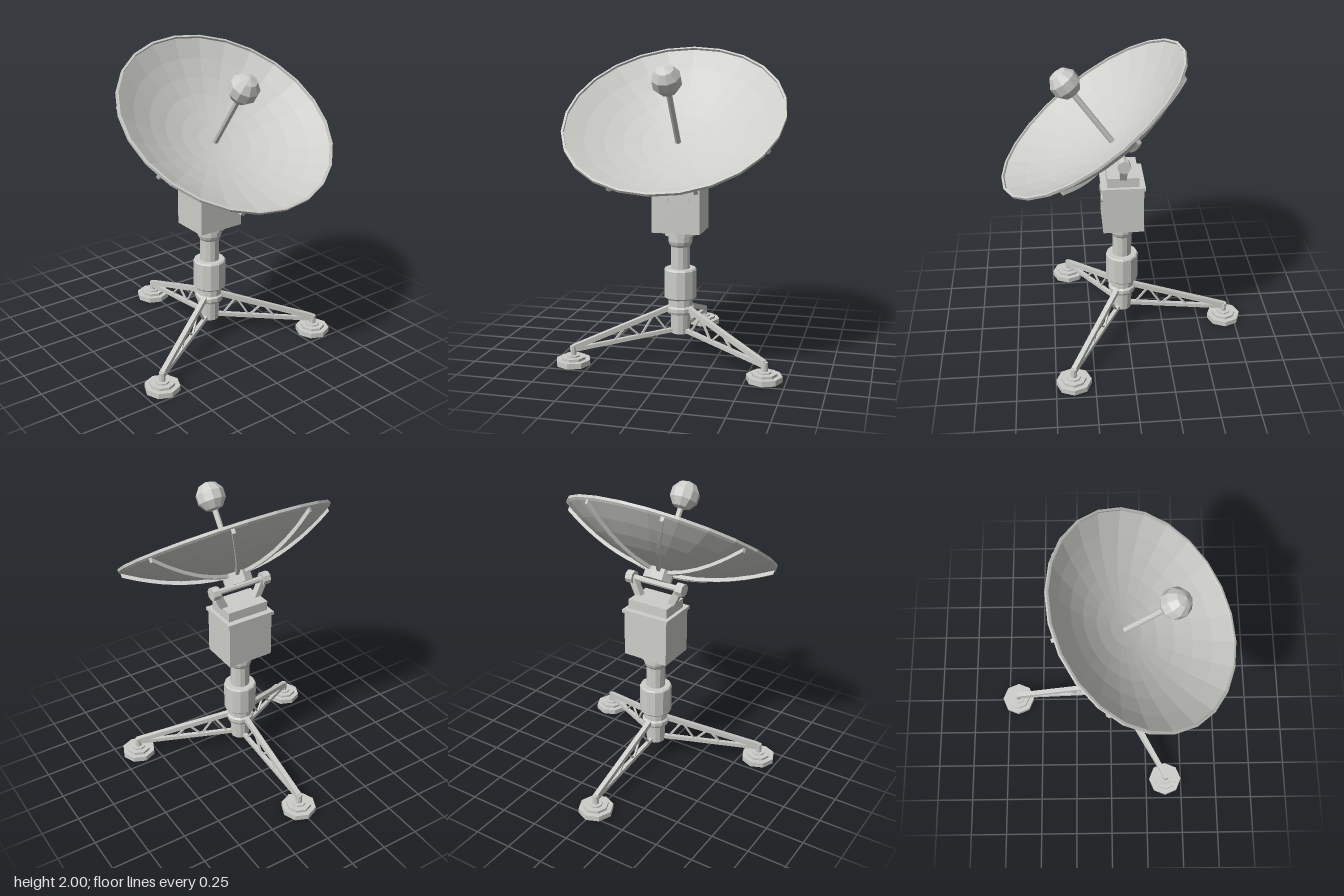
import * as THREE from 'three';

const grey = new THREE.MeshStandardMaterial({ color: 0xcdcdc9, flatShading: true });
grey.name = 'light grey';

const CZ = 0.03; // z of the column axis

function add(parent, name, geometry, x = 0, y = 0, z = 0) {
  const mesh = new THREE.Mesh(geometry, grey);
  mesh.name = name;
  mesh.position.set(x, y, z);
  parent.add(mesh);
  return mesh;
}

// Lathe from [radius, height] pairs, bottom to top
function lathe(points, sides) {
  return new THREE.LatheGeometry(points.map(([r, y]) => new THREE.Vector2(r, y)), sides);
}

// Square bar between two points
function bar(parent, name, a, b, width) {
  const from = new THREE.Vector3(...a), to = new THREE.Vector3(...b);
  const mesh = add(parent, name, new THREE.BoxGeometry(width, width, from.distanceTo(to)));
  mesh.position.copy(from).add(to).multiplyScalar(0.5);
  mesh.lookAt(to);
  return mesh;
}

// One tripod leg, reaching out along +z
function makeLeg() {
  const leg = new THREE.Group();
  leg.name = 'leg';
  const R = 0.71;
  const top = (r) => [0, 0.32 - (r - 0.08) * 0.333, r];
  const low = (r) => [0, 0.17 - (r - 0.05) * 0.115, r];
  bar(leg, 'upperBar', top(0.07), top(R), 0.032);
  bar(leg, 'lowerBar', low(0.05), low(R), 0.026);
  // zigzag bracing
  const stops = [0.09, 0.18, 0.27, 0.36, 0.45];
  for (let i = 0; i < stops.length - 1; i++) {
    const [a, b] = i % 2 ? [top, low] : [low, top];
    bar(leg, 'brace', a(stops[i]), b(stops[i + 1]), 0.012);
  }
  return leg;
}

function makeFoot() {
  return lathe([[0, 0], [0.113, 0], [0.113, 0.035], [0.08, 0.035], [0.08, 0.052],
    [0.045, 0.052], [0.045, 0.062], [0.021, 0.062], [0.021, 0.12], [0, 0.12]], 8);
}

function makeDish() {
  const dish = new THREE.Group();
  dish.name = 'dish';
  const R = 0.7, depth = 0.22, rings = 6;
  const bowl = (r) => depth * (r / R) ** 2;

  // Closed shell: back, rim, then the inside
  const back = [], inside = [];
  for (let i = 0; i <= rings; i++) {
    const r = (0.685 * i) / rings;
    back.push([r, bowl(r) - 0.015]);
    inside.unshift([r, bowl(r)]);
  }
  add(dish, 'reflector', lathe([...back, [R, depth - 0.012], [R, depth + 0.005],
    [0.685, depth + 0.005], ...inside], 24));

  // Eight curved ribs on the back
  const shape = new THREE.Shape();
  const steps = 8, r0 = 0.07, r1 = 0.685;
  const radius = (i) => r0 + ((r1 - r0) * i) / steps;
  shape.moveTo(r0, bowl(r0) - 0.038);
  for (let i = 1; i <= steps; i++) shape.lineTo(radius(i), bowl(radius(i)) - 0.038);
  for (let i = steps; i >= 0; i--) shape.lineTo(radius(i), bowl(radius(i)) - 0.01);
  const rib = new THREE.ExtrudeGeometry(shape, { depth: 0.022, bevelEnabled: false });
  rib.translate(0, 0, -0.011);
  for (let i = 0; i < 8; i++) {
    add(dish, 'rib', rib).rotation.y = Math.PI / 8 + (i * Math.PI) / 4;
  }

  // Hub behind, boom and feed ball in front
  add(dish, 'hub', new THREE.CylinderGeometry(0.097, 0.097, 0.08, 8), 0, -0.045, 0);
  add(dish, 'boom', new THREE.CylinderGeometry(0.019, 0.019, 0.42, 8), 0, 0.2, 0);
  add(dish, 'feedBall', new THREE.SphereGeometry(0.097, 10, 5), 0, 0.487, 0);
  return dish;
}

export function createModel() {
  const model = new THREE.Group();
  model.name = 'satelliteDish';

  // Tripod
  for (let i = 0; i < 3; i++) {
    const a = Math.PI + (i * 2 * Math.PI) / 3;
    const leg = makeLeg();
    leg.position.z = CZ;
    leg.rotation.y = a;
    model.add(leg);
    add(model, 'foot', makeFoot(), Math.sin(a) * 0.712, 0, CZ + Math.cos(a) * 0.712);
  }

  // Stepped column
  add(model, 'column', lathe([[0, 0.15], [0.062, 0.15], [0.066, 0.28], [0.085, 0.285],
    [0.092, 0.3], [0.092, 0.325], [0.08, 0.335], [0.08, 0.38], [0.098, 0.385], [0.107, 0.395],
    [0.107, 0.575], [0.1, 0.585], [0.063, 0.585], [0.063, 0.73], [0.073, 0.745], [0.08, 0.765],
    [0.08, 0.8], [0.103, 0.805], [0.103, 0.84], [0, 0.84]], 12), 0, 0, CZ);

  // Equipment box
  add(model, 'cabinet', new THREE.BoxGeometry(0.314, 0.305, 0.26), 0, 0.9875, CZ);
  add(model, 'cabinetLid', new THREE.BoxGeometry(0.336, 0.022, 0.28), 0, 1.146, CZ);
  add(model, 'topPlate', new THREE.BoxGeometry(0.286, 0.065, 0.2), 0, 1.188, CZ);
  for (const s of [-1, 1]) {
    const dial = add(model, 'dial', new THREE.CylinderGeometry(0.025, 0.025, 0.009, 16),
      s * 0.068, 1.045, CZ + 0.134);
    dial.rotation.x = Math.PI / 2;
  }

  // Tilt axle on two splayed posts
  const axle = add(model, 'axle', new THREE.CylinderGeometry(0.02, 0.02, 0.36, 8), 0, 1.33, CZ);
  axle.rotation.z = Math.PI / 2;
  for (const s of [-1, 1]) {
    bar(model, 'post', [s * 0.12, 1.21, CZ], [s * 0.175, 1.33, CZ], 0.045);
    const knob = add(model, 'axleKnob', new THREE.CylinderGeometry(0.043, 0.043, 0.05, 8),
      s * 0.185, 1.33, CZ);
    knob.rotation.z = Math.PI / 2;
  }

  const dish = makeDish();
  dish.position.set(0, 1.411, 0.089);
  dish.rotation.x = 0.616;
  model.add(dish);
  return model;
}
